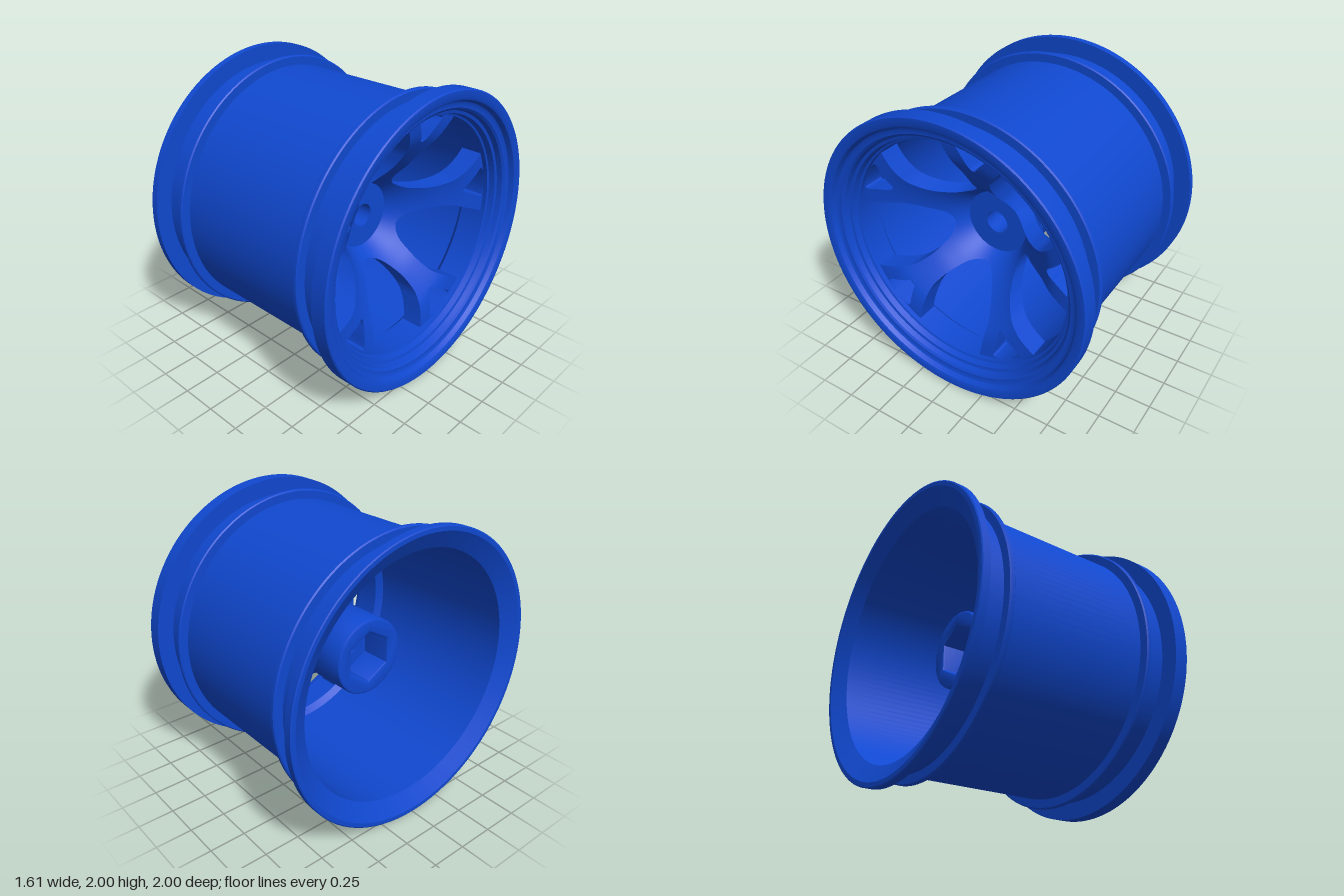
import * as THREE from 'three';
import { toCreasedNormals } from 'three/addons/utils/BufferGeometryUtils.js';

const blue = new THREE.MeshStandardMaterial({ color: 0x1048d0 });
blue.name = 'blue';

function addPart(group, name, geometry, crease = 0.5) {
  const mesh = new THREE.Mesh(toCreasedNormals(geometry, crease), blue);
  mesh.name = name;
  group.add(mesh);
  return mesh;
}

// linear lookup in [r, value] pairs
function lookup(table, r) {
  if (r <= table[0][0]) return table[0][1];
  for (let i = 1; i < table.length; i++) {
    const [r0, v0] = table[i - 1], [r1, v1] = table[i];
    if (r <= r1) return v0 + (v1 - v0) * (r - r0) / (r1 - r0);
  }
  return table[table.length - 1][1];
}

// smooth curve through [r, value] pairs, resampled to a finer table
function smooth(points) {
  const curve = new THREE.SplineCurve(points.map(p => new THREE.Vector2(...p)));
  return curve.getPoints(80).map(p => [p.x, p.y]);
}

// dished face height, outer half-angle and fork half-angle of a spoke by radius
const FACE = smooth([[0.2, 0.13], [0.225, 0.18], [0.28, 0.27], [0.35, 0.36], [0.45, 0.46], [0.62, 0.58], [0.72, 0.615], [0.83, 0.63]]);
const HALF = smooth([[0.285, 36], [0.30, 25.5], [0.34, 17], [0.43, 11.3], [0.53, 10.1], [0.59, 11], [0.65, 13], [0.83, 18]]);
const FORK = [[0.62, 0], [0.626, 1.3], [0.64, 2.3], [0.77, 8.3], [0.785, 8.6], [0.797, 8], [0.804, 6], [0.808, 0]];
const THICK = 0.15;

// one side of a forked spoke, as cross-sections at growing radius
function halfSpoke(positions, axisAngle, side) {
  const radii = [0.2, 0.225, 0.25, 0.275, 0.285, 0.288, 0.292, 0.297];
  for (let r = 0.305; r < 0.62; r += 0.015) radii.push(r);
  radii.push(0.62, 0.626, 0.64, 0.67, 0.7, 0.735, 0.77, 0.785, 0.797, 0.804, 0.808, 0.83);
  const divisions = 5;
  const loops = radii.map(r => {
    const inner = lookup(FORK, r), outer = r < 0.285 ? 36 : lookup(HALF, r);
    const x = lookup(FACE, r);
    const point = (t, px) => {
      const a = THREE.MathUtils.degToRad(axisAngle + side * (inner + (outer - inner) * t));
      return [px, r * Math.sin(a), -r * Math.cos(a)];
    };
    const loop = [];
    for (let i = 0; i <= divisions; i++) loop.push(point(i / divisions, x));
    for (let i = divisions; i >= 0; i--) loop.push(point(i / divisions, x - THICK));
    return { loop, inner };
  });
  for (let k = 0; k + 1 < loops.length; k++) {
    const A = loops[k], B = loops[k + 1], n = A.loop.length;
    for (let i = 0; i < n; i++) {
      // the two sides join on the spoke axis, so no wall there
      if (i === n - 1 && A.inner === 0 && B.inner === 0) continue;
      const j = (i + 1) % n;
      const a = A.loop[i], b = B.loop[i], c = B.loop[j], d = A.loop[j];
      const quad = side > 0 ? [a, b, c, a, c, d] : [a, c, b, a, d, c];
      for (const p of quad) positions.push(...p);
    }
  }
}

// raised band round the barrel
const bead = x => [
  [0.885, x - 0.018], [0.942, x - 0.018], [0.95, x - 0.01],
  [0.95, x + 0.01], [0.942, x + 0.018], [0.885, x + 0.018],
];

// short tube along x from x0 with an optional hexagonal hole
function hubSection(radius, x0, length, holeRadius, holeSides, bevel) {
  const shape = new THREE.Shape();
  shape.absarc(0, 0, radius - bevel, 0, Math.PI * 2);
  const hole = [];
  for (let i = 0; i < holeSides; i++) {
    const a = -i / holeSides * Math.PI * 2 + Math.PI / 2;
    hole.push(new THREE.Vector2(holeRadius * Math.cos(a), holeRadius * Math.sin(a)));
  }
  shape.holes.push(new THREE.Path(hole));
  const geometry = new THREE.ExtrudeGeometry(shape, {
    depth: length - 2 * bevel, curveSegments: 48,
    bevelEnabled: bevel > 0, bevelSize: bevel, bevelThickness: bevel, bevelSegments: 2,
  });
  geometry.translate(0, 0, x0 + bevel);
  geometry.rotateY(Math.PI / 2);
  return geometry;
}

export function createModel() {
  const model = new THREE.Group();
  model.name = 'wheelRim';
  const wheel = new THREE.Group();
  wheel.name = 'wheel';
  wheel.position.y = 1;
  model.add(wheel);

  // barrel with flanges, beads and stepped outer lip: closed [radius, x] loop
  const profile = [
    [1, -0.80], [1, -0.75], [0.885, -0.75],
    ...bead(-0.562), ...bead(0.512),
    [0.885, 0.695], [1, 0.695], [1, 0.797], [0.992, 0.805],
    [0.945, 0.805], [0.93, 0.797], [0.915, 0.765], [0.9, 0.757],
    [0.875, 0.757], [0.86, 0.745], [0.85, 0.71], [0.83, 0.705],
    [0.82, 0.665], [0.806, 0.66], [0.806, 0.47], [0.85, 0.43],
    [0.85, -0.735], [0.965, -0.805], [0.992, -0.805], [1, -0.80],
  ];
  const barrel = new THREE.LatheGeometry(profile.map(p => new THREE.Vector2(...p)), 128);
  barrel.rotateZ(-Math.PI / 2);
  addPart(wheel, 'barrel', barrel);

  // five forked spokes dished in towards the hub
  const positions = [];
  for (let k = 0; k < 5; k++) {
    for (const side of [1, -1]) halfSpoke(positions, 81 + 72 * k, side);
  }
  const spokes = new THREE.BufferGeometry();
  spokes.setAttribute('position', new THREE.Float32BufferAttribute(positions, 3));
  addPart(wheel, 'spokes', spokes, 0.6);

  // hub: bored outer face and hexagonal socket on the inner side
  addPart(wheel, 'hubFace', hubSection(0.228, -0.12, 0.31, 0.082, 40, 0));
  addPart(wheel, 'hubSocket', hubSection(0.27, -0.34, 0.4, 0.2, 6, 0.015));
  return model;
}
